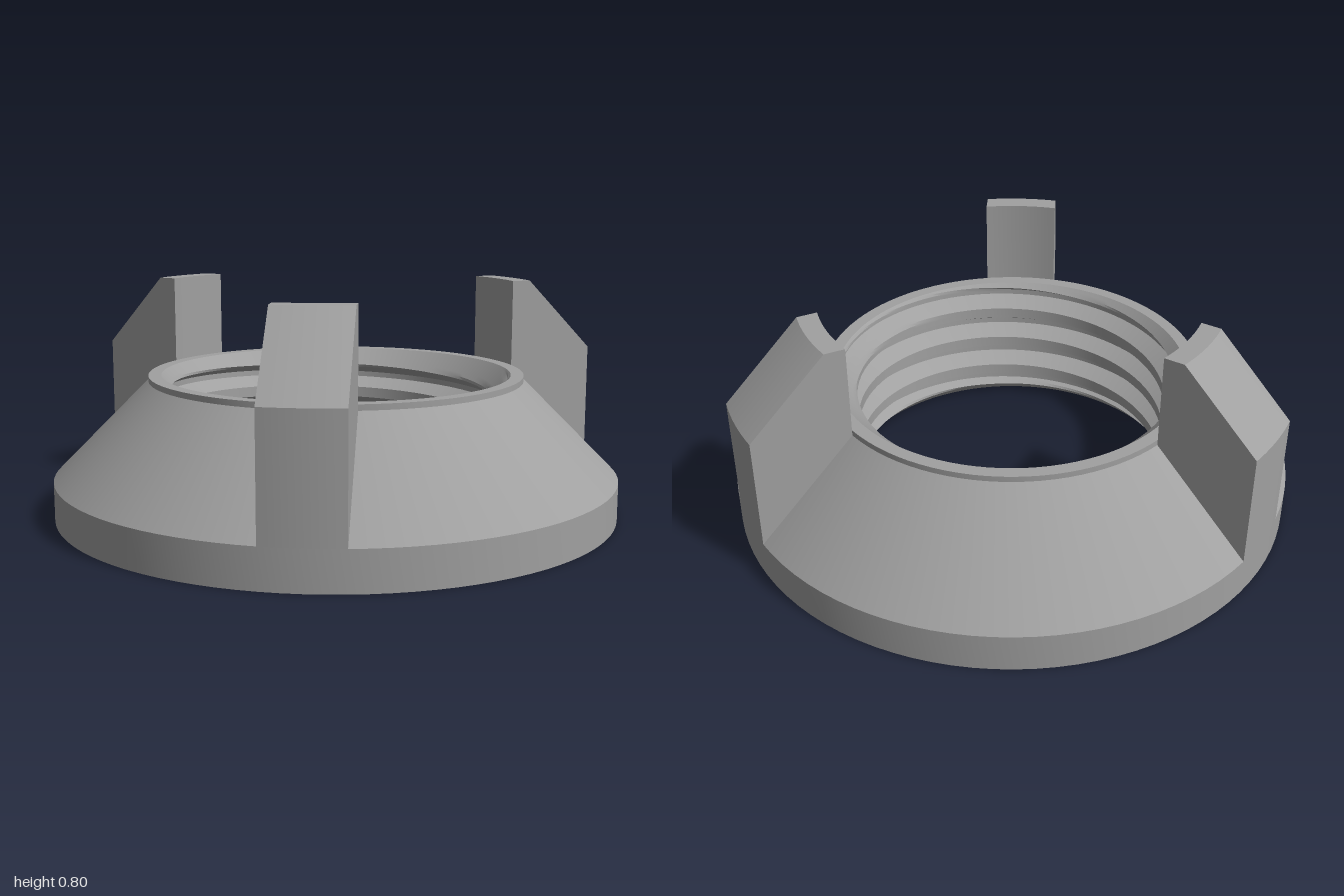
import * as THREE from 'three';
import { toCreasedNormals } from 'three/addons/utils/BufferGeometryUtils.js';

const SEGMENTS = 96;
const HEIGHT = 0.49, MOUTH = 0.62, BORE = 0.55, ROOT = 0.61, CHAMFER = 0.07;
const PITCH = 0.13;

// Joins rows of points into a surface, skipping collapsed triangles.
function gridTriangles(rows, cols, closed, point) {
  const out = [];
  const tri = new THREE.Triangle();
  const add = (a, b, c) => {
    tri.set(a, b, c);
    if (tri.getArea() > 1e-9) for (const p of [a, b, c]) out.push(p.x, p.y, p.z);
  };
  for (let i = 0; i < (closed ? rows : rows - 1); i++) {
    for (let k = 0; k < cols; k++) {
      const n = (i + 1) % rows;
      const a = point(i, k), b = point(n, k), c = point(n, k + 1), d = point(i, k + 1);
      add(a, b, c);
      add(a, c, d);
    }
  }
  return out;
}

function toGeometry(positions) {
  const g = new THREE.BufferGeometry();
  g.setAttribute('position', new THREE.Float32BufferAttribute(positions, 3));
  return toCreasedNormals(g, Math.PI / 7);
}

// Helical trapezoid thread, clipped by a chamfer at each mouth.
function threadGeometry() {
  const profile = [[0, BORE], [0.04, BORE], [0.075, ROOT], [0.095, ROOT], [PITCH, BORE]];
  const steps = 4, samples = [];
  for (let turn = 0; turn < 6; turn++) {
    for (let s = 0; s < 4; s++) {
      for (let j = 0; j < steps; j++) {
        const t = j / steps;
        samples.push([
          (turn - 1) * PITCH + THREE.MathUtils.lerp(profile[s][0], profile[s + 1][0], t),
          THREE.MathUtils.lerp(profile[s][1], profile[s + 1][1], t),
        ]);
      }
    }
  }
  return toGeometry(gridTriangles(samples.length, SEGMENTS, false, (i, k) => {
    const turn = k / SEGMENTS, angle = turn * Math.PI * 2;
    const y = THREE.MathUtils.clamp(samples[i][0] + turn * PITCH, 0, HEIGHT);
    const edge = Math.min(y, HEIGHT - y);
    const mouth = MOUTH - (MOUTH - BORE) * edge / CHAMFER;
    const r = edge === 0 ? MOUTH : Math.max(samples[i][1], mouth);
    return new THREE.Vector3(r * Math.cos(angle), y, -r * Math.sin(angle));
  }));
}

// Lug: a revolved profile trimmed by two parallel side planes.
function lugGeometry() {
  const half = 0.132, cols = 10;
  const profile = [[0.665, 0.3], [1, 0.135], [1, 0.54], [0.735, 0.8], [0.665, 0.8]];
  const point = (i, k) => {
    const w = half * (2 * k / cols - 1), [r, y] = profile[i];
    return new THREE.Vector3(Math.sqrt(r * r - w * w), y, w);
  };
  const positions = gridTriangles(profile.length, cols, true, point);
  for (let i = 1; i < profile.length - 1; i++) {
    for (const p of [point(0, cols), point(i, cols), point(i + 1, cols),
      point(0, 0), point(i + 1, 0), point(i, 0)]) positions.push(p.x, p.y, p.z);
  }
  return toGeometry(positions);
}

export function createModel() {
  const model = new THREE.Group();
  model.name = 'threadedLockRing';
  const metal = new THREE.MeshStandardMaterial({ color: 0xa0a0a0 });
  metal.name = 'plain grey';

  const add = (name, geometry) => {
    const mesh = new THREE.Mesh(geometry, metal);
    mesh.name = name;
    model.add(mesh);
    return mesh;
  };

  // Conical flange with flat base and rim
  const outline = [[MOUTH, 0], [1, 0], [1, 0.135], [0.665, 0.47], [0.665, HEIGHT], [MOUTH, HEIGHT]]
    .map(([r, y]) => new THREE.Vector2(r, y));
  add('flange', toCreasedNormals(new THREE.LatheGeometry(outline, SEGMENTS), Math.PI / 7));

  // Threaded bore
  add('innerThread', threadGeometry());

  // Three grip lugs
  const lug = lugGeometry();
  const names = ['backLug', 'rightLug', 'frontLug'];
  names.forEach((name, i) => {
    add(name, lug).rotation.y = Math.PI / 3 + i * Math.PI * 2 / 3;
  });

  return model;
}
